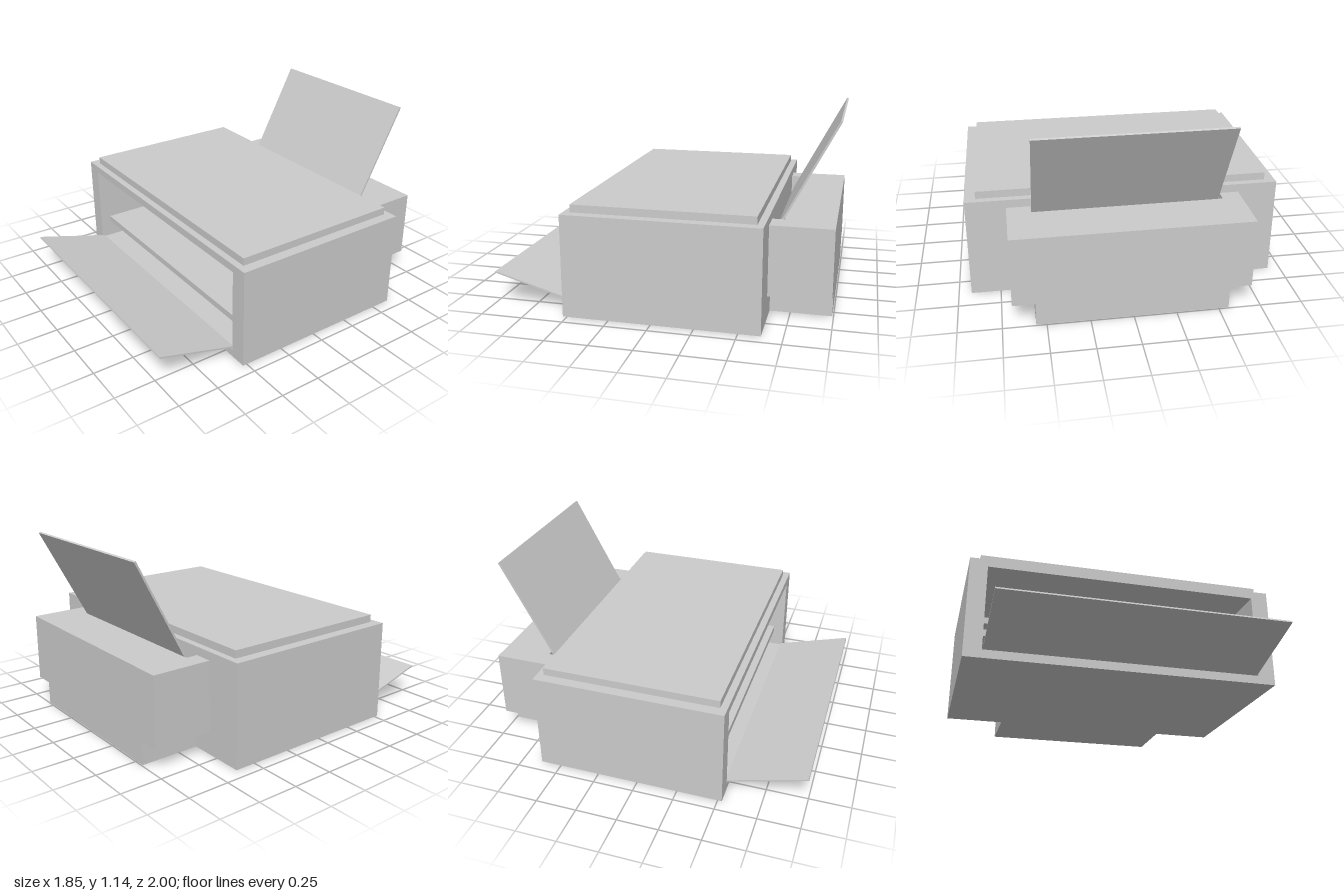
import * as THREE from 'three';

const material = new THREE.MeshStandardMaterial({ color: 0xcccccc, flatShading: true });

function add(group, name, geometry) {
  const mesh = new THREE.Mesh(geometry, material);
  mesh.name = name;
  group.add(mesh);
  return mesh;
}

// Axis-aligned block given by its limits
function block(group, name, [x0, x1], [y0, y1], [z0, z1]) {
  const mesh = add(group, name, new THREE.BoxGeometry(x1 - x0, y1 - y0, z1 - z0));
  mesh.position.set((x0 + x1) / 2, (y0 + y1) / 2, (z0 + z1) / 2);
  return mesh;
}

const outline = (points) => points.map(([x, y]) => new THREE.Vector2(x, y));

// Front-facing outline extruded between two depths
function extrude(group, name, shape, z0, z1) {
  const geometry = new THREE.ExtrudeGeometry(shape, { depth: z1 - z0, bevelEnabled: false });
  add(group, name, geometry).position.z = z0;
}

// Thin tilted sheet running between two (z, y) points
function sheet(group, name, halfWidth, [z0, y0], [z1, y1], thickness) {
  const length = Math.hypot(z1 - z0, y1 - y0);
  const mesh = add(group, name, new THREE.BoxGeometry(halfWidth * 2, thickness, length));
  mesh.position.set(0, (y0 + y1) / 2, (z0 + z1) / 2);
  mesh.rotation.x = -Math.atan2(y1 - y0, z1 - z0);
}

export function createModel() {
  const printer = new THREE.Group();
  printer.name = 'printer';

  // Housing: hollow sleeve open at the front, closed at the back
  const frame = new THREE.Shape(outline([[-0.925, 0], [0.925, 0], [0.925, 0.612], [-0.925, 0.612]]));
  frame.holes.push(new THREE.Path(outline([[-0.82, 0.05], [-0.82, 0.565], [0.82, 0.565], [0.82, 0.05]])));
  extrude(printer, 'housing', frame, -0.58, 0.525);
  block(printer, 'backPanel', [-0.925, 0.925], [0, 0.612], [-0.628, -0.58]);
  block(printer, 'lid', [-0.862, 0.862], [0.612, 0.658], [-0.587, 0.484]);

  // Interior: platen, carriage rail and print carriage
  block(printer, 'platen', [-0.82, 0.82], [0.16, 0.2], [-0.58, 0.455]);
  block(printer, 'carriageRail', [-0.82, 0.82], [0.395, 0.435], [0.07, 0.11]);
  block(printer, 'printCarriage', [0.525, 0.722], [0.2, 0.485], [0, 0.21]);

  // Rear feeder: narrower at the bottom, with a paper slot against the housing
  const base = [[-0.69, 0.14], [-0.56, 0.14], [-0.56, 0], [0.56, 0], [0.56, 0.14], [0.69, 0.14], [0.69, 0.562]];
  const slot = [[0.55, 0.562], [0.55, 0.3], [-0.575, 0.3], [-0.575, 0.562]];
  extrude(printer, 'rearFeeder', new THREE.Shape(outline([...base, [-0.69, 0.562]])), -0.993, -0.7);
  extrude(printer, 'feederSlot', new THREE.Shape(outline([...base, ...slot, [-0.69, 0.562]])), -0.7, -0.628);

  // Tilted sheets
  sheet(printer, 'paperSupport', 0.548, [-0.655, 0.495], [-0.993, 1.134], 0.012);
  sheet(printer, 'outputTray', 0.815, [0.515, 0.058], [0.998, 0.194], 0.01);

  return printer;
}
